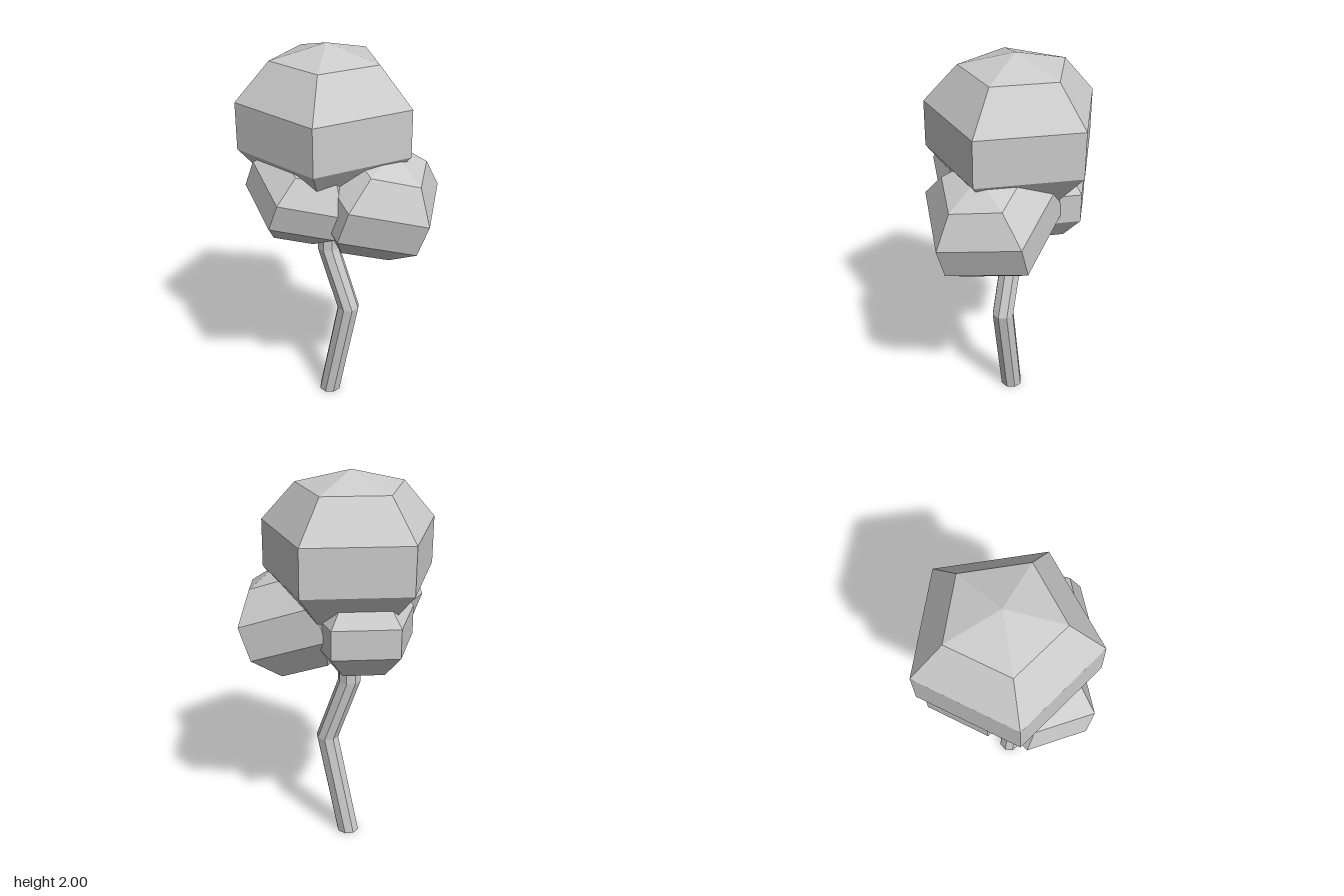
import * as THREE from 'three';

const material = new THREE.MeshStandardMaterial({ color: 0xcccccc, flatShading: true });

// Five-sided flattened sphere; axis is its pole, corner the way one corner points
function foliage(name, center, axis, corner, radius, halfHeight) {
  const geometry = new THREE.SphereGeometry(1, 5, 5).rotateY(Math.PI);
  geometry.scale(radius, halfHeight, radius);
  const up = new THREE.Vector3(...axis).normalize();
  const out = new THREE.Vector3(...corner).projectOnPlane(up).normalize();
  const side = new THREE.Vector3().crossVectors(out, up);
  const mesh = new THREE.Mesh(geometry, material);
  mesh.name = name;
  mesh.quaternion.setFromRotationMatrix(new THREE.Matrix4().makeBasis(out, up, side));
  mesh.position.set(...center);
  return mesh;
}

// Eight-sided bent trunk: level rings of a cylinder shifted onto a crooked path
function trunk() {
  const path = [[-0.118, 0], [-0.002, 0.575], [-0.118, 0.915], [-0.118, 1.35]];
  const rows = path.length - 1;
  const geometry = new THREE.CylinderGeometry(0.059, 0.059, rows, 8, rows);
  const p = geometry.attributes.position;
  for (let i = 0; i < p.count; i++) {
    const [x, y] = path[Math.round(p.getY(i) + rows / 2)];
    p.setXYZ(i, p.getX(i) + x, y, p.getZ(i) - 0.027);
  }
  geometry.computeVertexNormals();
  const mesh = new THREE.Mesh(geometry, material);
  mesh.name = 'trunk';
  return mesh;
}

export function createModel() {
  const tree = new THREE.Group();
  tree.name = 'tree';
  tree.add(
    trunk(),
    foliage('crownFoliage', [-0.118, 1.615, -0.03], [0, 1, 0], [1, 0, 0], 0.47, 0.385),
    foliage('backFoliage', [-0.2, 1.26, -0.133], [0, 1, 0], [1, 0, 0], 0.293, 0.24),
    foliage('frontFoliage', [-0.16, 1.293, 0.168], [0.375, 0.925, 0.06], [-0.03, -0.03, 1], 0.293, 0.237),
    foliage('leftFoliage', [0.144, 1.242, -0.027], [0.35, 0.935, 0.04], [0.878, -0.335, 0.328], 0.365, 0.29),
  );
  return tree;
}
